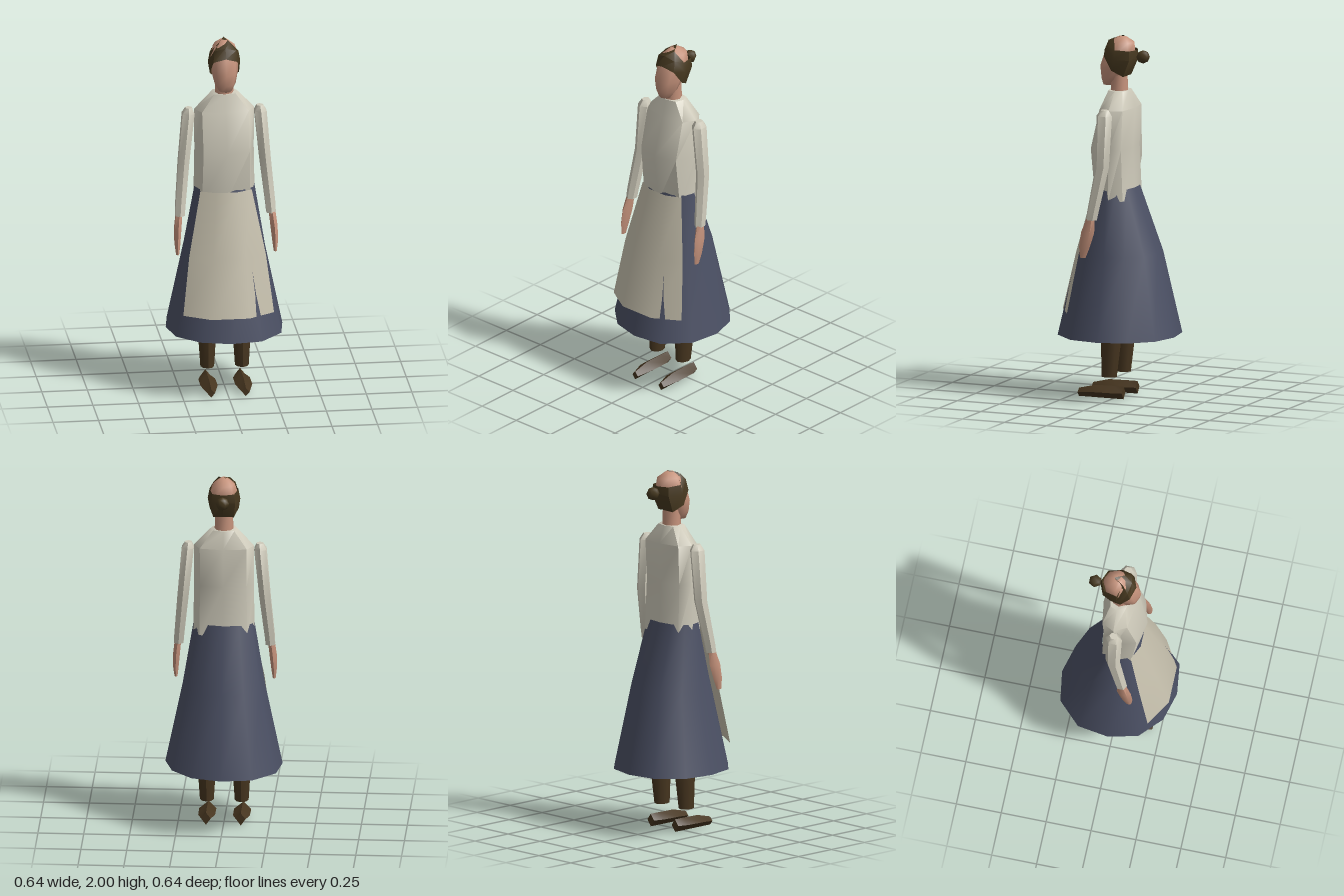
import * as THREE from 'three';
import { toCreasedNormals } from 'three/addons/utils/BufferGeometryUtils.js';

const mat = (name, color, extra = {}) => {
  const m = new THREE.MeshStandardMaterial({ color, ...extra });
  m.name = name;
  return m;
};

// Skin a list of cross-section rings (counter-clockwise about the direction of travel)
function loft(rings, { closed = true, caps = true, crease = 0.9 } = {}) {
  const n = rings[0].length, pos = rings.flat(2), idx = [];
  for (let i = 0; i < rings.length - 1; i++) {
    for (let j = 0; j < (closed ? n : n - 1); j++) {
      const k = (j + 1) % n, a = i * n + j, b = i * n + k;
      idx.push(a, b, b + n, a, b + n, a + n);
    }
  }
  if (caps) {
    const top = (rings.length - 1) * n;
    for (let j = 1; j < n - 1; j++) idx.push(0, j + 1, j, top, top + j, top + j + 1);
  }
  const g = new THREE.BufferGeometry();
  g.setAttribute('position', new THREE.Float32BufferAttribute(pos, 3));
  g.setIndex(idx);
  return toCreasedNormals(g, crease);
}

// Horizontal ring with separate front and back depth, starting at the front
const ring = (n, y, hx, zf, zb, cx = 0) => Array.from({ length: n }, (_, j) => {
  const t = (j / n) * Math.PI * 2, c = Math.cos(t), mid = (zf + zb) / 2;
  return [cx + hx * Math.sin(t), y, mid + c * (zf - zb) / 2];
});

export function createModel() {
  const group = new THREE.Group();
  group.name = 'woman';
  const skin = mat('skin', 0xc6937c);
  const hairMat = mat('hair', 0x46381f, { side: THREE.DoubleSide });
  const cloth = mat('blouse', 0xcfcbbb);
  const apronMat = mat('apron', 0xc6c0ad, { side: THREE.DoubleSide });
  const skirtMat = mat('skirt', 0x4b5064, { side: THREE.DoubleSide });
  const leather = mat('leather', 0x46351f);
  const add = (name, geometry, material) => {
    const m = new THREE.Mesh(geometry, material);
    m.name = name;
    group.add(m);
    return m;
  };

  // Skirt: twelve-sided open bell with slightly uneven folds
  const folds = [1, 1.075, 1.06, 1, 0.99, 1, 1, 1.06, 1.06, 1, 1.02, 1];
  const skirtRows = [[0.345, 0.32, 0.32, -0.32], [0.8, 0.225, 0.22, -0.22], [1.16, 0.165, 0.118, -0.088]];
  add('skirt', loft(skirtRows.map(([y, hx, zf, zb]) =>
    ring(12, y, hx, zf, zb).map(([x, h, z], j) => [x * folds[j], h, z * folds[j]])),
  { caps: false }), skirtMat);

  // Apron: three-panel curved sheet in front of the skirt
  const apronRows = [[0.48, 0.335, 0.312], [0.8, 0.283, 0.235], [1.153, 0.19, 0.137]];
  add('apron', loft(apronRows.map(([y, rx, rz]) => [-48, -18, 18, 48].map((d) => {
    const t = THREE.MathUtils.degToRad(d);
    return [rx * Math.sin(t), y, rz * Math.cos(t)];
  })), { closed: false, caps: false }), apronMat);

  // Blouse body: eight-sided, with square-ish diagonals
  const bodyRows = [[1.1, 0.168, 0.118, -0.09], [1.38, 0.163, 0.155, -0.075],
    [1.6, 0.165, 0.088, -0.088], [1.695, 0.075, 0.06, -0.05]];
  add('blouse', loft(bodyRows.map(([y, hx, zf, zb]) => Array.from({ length: 8 }, (_, j) => {
    const t = (j / 8) * Math.PI * 2, c = Math.cos(t), d = j % 2 ? 1.1 : 1;
    return [hx * d * Math.sin(t), y, c * d * (c > 0 ? zf : -zb)];
  }))), cloth);

  // Neck and head
  add('neck', loft([ring(8, 1.66, 0.052, 0.055, -0.045), ring(8, 1.82, 0.048, 0.055, -0.04)]), skin);
  const headRows = [[1.72, 0.034, 0.1, 0.03], [1.76, 0.058, 0.113, -0.01], [1.82, 0.072, 0.12, -0.055],
    [1.9, 0.077, 0.092, -0.09], [1.96, 0.06, 0.06, -0.084], [1.99, 0.022, 0.015, -0.035]];
  add('head', loft(headRows.map((r) => ring(8, ...r)), { crease: 1.3 }), skin);

  // Hair: band around the head, swept up in front to a tongue on the crown
  const half = [ // front to back: bottom, middle, top points
    [[0, 1.91, 0.094], [0, 1.965, 0.07], [0, 2.0, -0.03]],
    [[0.066, 1.885, 0.07], [0.06, 1.945, 0.056], [0.03, 1.985, 0.025]],
    [[0.08, 1.81, 0.02], [0.089, 1.87, 0], [0.079, 1.925, 0]],
    [[0.056, 1.775, -0.04], [0.066, 1.87, -0.08], [0.06, 1.92, -0.076]],
    [[0, 1.785, -0.065], [0, 1.88, -0.107], [0, 1.92, -0.1]],
  ];
  const strands = [...half, ...half.slice(1, 4).reverse().map((s) => s.map(([x, y, z]) => [-x, y, z]))];
  add('hair', loft([0, 1, 2].map((r) => strands.map((s) => s[r])), { caps: false }), hairMat);
  const bun = add('bun', new THREE.SphereGeometry(0.037, 6, 4), hairMat);
  bun.position.set(0, 1.885, -0.135);

  for (const s of [1, -1]) {
    const side = s > 0 ? 'left' : 'right';

    // Sleeve with a slight elbow bend
    const sleeve = [[1.01, 0.029, 0.095, 0.03, 0.25], [1.06, 0.031, 0.088, 0.02, 0.247], [1.3, 0.035, 0.05, -0.03, 0.224],
      [1.58, 0.038, 0.055, -0.037, 0.198], [1.612, 0.02, 0.032, -0.015, 0.195]];
    add(side + 'Sleeve', loft(sleeve.map(([y, hx, zf, zb, cx]) => ring(6, y, hx, zf, zb, cx * s))), cloth);

    // Hand
    const hand = [[0.8, 0.009, 0.123, 0.09, 0.268], [0.86, 0.017, 0.128, 0.065, 0.268],
      [0.94, 0.021, 0.118, 0.04, 0.264], [1.03, 0.02, 0.085, 0.04, 0.254]];
    add(side + 'Hand', loft(hand.map(([y, hx, zf, zb, cx]) => ring(6, y, hx, zf, zb, cx * s))), skin);

    // Leg: calf and thigh overlap at the knee
    const calf = [[0.12, 0.038, 0.07, -0.02], [0.34, 0.052, 0.075, -0.048], [0.5, 0.05, 0.065, -0.045]];
    add(side + 'Calf', loft(calf.map((r) => ring(8, ...r, 0.095 * s))), leather);
    const thigh = [[0.48, 0.052, 0.062, -0.05], [0.95, 0.06, 0.06, -0.06]];
    add(side + 'Thigh', loft(thigh.map((r) => ring(8, ...r, 0.09 * s))), leather);

    // Shoe: diamond section tapering to the toe
    const shoe = [[-0.06, 0.026, 0.07], [0.0, 0.046, 0.07], [0.11, 0.047, 0.068], [0.205, 0.02, 0.045]];
    add(side + 'Shoe', loft(shoe.map(([z, w, h]) =>
      [[w, h * 0.52], [0, h], [-w, h * 0.52], [0, 0]].map(([x, y]) => [x + 0.095 * s, y, z]))), leather);
  }
  return group;
}
